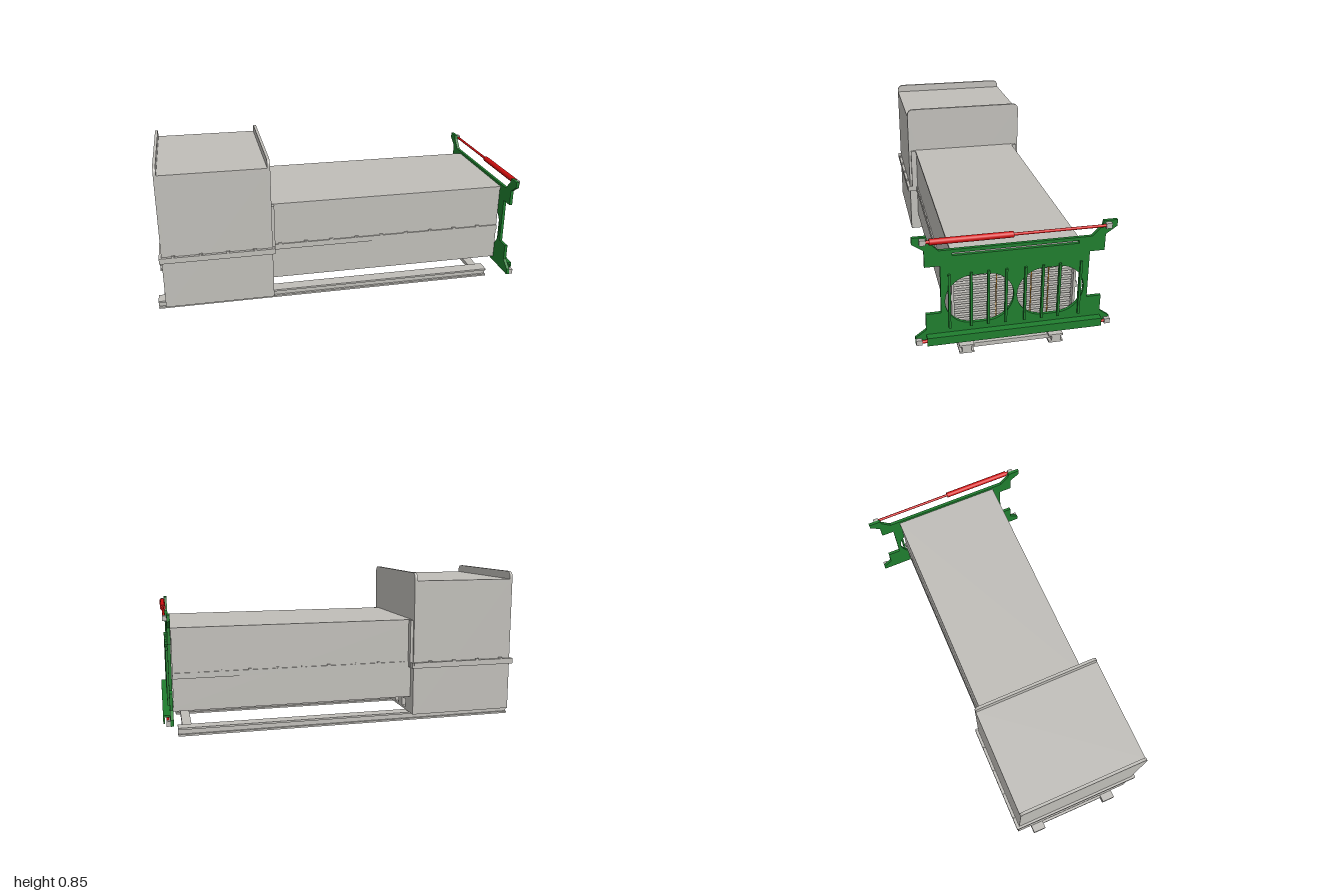
import * as THREE from 'three';

const mat = (name, color) => {
  const m = new THREE.MeshStandardMaterial({ color });
  m.name = name;
  return m;
};

export function createModel() {
  const grey = mat('grey steel', 0xbfbdb8);
  const green = mat('green paint', 0x1f7d2e);
  const red = mat('red paint', 0xd01010);
  const orange = mat('orange strip', 0xd89a3a);
  const root = new THREE.Group();
  root.name = 'machine';

  const group = (name) => {
    const g = new THREE.Group();
    g.name = name;
    root.add(g);
    return g;
  };
  // Box given by its limits on each axis
  const box = (parent, name, m, x0, x1, y0, y1, z0, z1) => {
    const mesh = new THREE.Mesh(new THREE.BoxGeometry(x1 - x0, y1 - y0, z1 - z0), m);
    mesh.position.set((x0 + x1) / 2, (y0 + y1) / 2, (z0 + z1) / 2);
    mesh.name = name;
    parent.add(mesh);
    return mesh;
  };
  // Plate drawn in the (-z, y) plane, extruded along +x
  const plate = (parent, name, m, shape, x0, x1) => {
    const geo = new THREE.ExtrudeGeometry(shape, { depth: x1 - x0, bevelEnabled: false, curveSegments: 20 });
    geo.rotateY(Math.PI / 2);
    const mesh = new THREE.Mesh(geo, m);
    mesh.position.x = x0;
    mesh.name = name;
    parent.add(mesh);
  };
  // Cylinder lying along z
  const rod = (parent, name, m, r, x, y, z0, z1) => {
    const mesh = new THREE.Mesh(new THREE.CylinderGeometry(r, r, Math.abs(z1 - z0), 20), m);
    mesh.rotation.x = Math.PI / 2;
    mesh.position.set(x, y, (z0 + z1) / 2);
    mesh.name = name;
    parent.add(mesh);
  };
  const rectHole = (u0, u1, v0, v1) => new THREE.Path([
    new THREE.Vector2(u0, v0), new THREE.Vector2(u0, v1),
    new THREE.Vector2(u1, v1), new THREE.Vector2(u1, v0)]);

  // Base frame: I-beam rails joined by cross members
  const base = group('baseFrame');
  for (const s of [-1, 1]) {
    const span = (a, b) => (s > 0 ? [a, b] : [-b, -a]);
    box(base, 'railTopFlange', grey, -1, 0.925, 0.036, 0.046, ...span(0.19, 0.263));
    box(base, 'railBottomFlange', grey, -1, 0.925, 0, 0.01, ...span(0.19, 0.263));
    box(base, 'railWeb', grey, -1, 0.925, 0.01, 0.036, ...span(0.205, 0.25));
  }
  for (const x of [-0.97, 0.85]) {
    box(base, 'crossMember', grey, x, x + 0.05, 0.012, 0.035, -0.206, 0.206);
  }

  // Tall hood, open below, between two round-cornered end plates
  const hood = group('hood');
  const W = 0.347;
  box(hood, 'hoodRoof', grey, -0.942, -0.383, 0.79, 0.81, -W, W);
  for (const s of [-1, 1]) {
    box(hood, 'hoodSide', grey, -0.942, -0.383, 0.055, 0.79, s * 0.341 - 0.006, s * 0.341 + 0.006);
  }
  const endShape = () => {
    const p = new THREE.Shape();
    p.moveTo(-W, 0.055);
    p.lineTo(W, 0.055);
    p.lineTo(W, 0.815);
    p.quadraticCurveTo(W, 0.853, W - 0.038, 0.853);
    p.lineTo(-W + 0.038, 0.853);
    p.quadraticCurveTo(-W, 0.853, -W, 0.815);
    return p;
  };
  plate(hood, 'hoodBackPlate', grey, endShape(), -0.957, -0.942);
  const front = endShape();
  const pockets = [-0.257, -0.145, -0.03, 0.084, 0.198];
  for (const u of pockets) front.holes.push(rectHole(u - 0.028, u + 0.028, 0.067, 0.117));
  plate(hood, 'hoodFrontPlate', grey, front, -0.383, -0.368);

  // Pocket tray behind the openings
  for (const u of pockets) {
    for (const d of [-0.032, 0.032]) {
      box(hood, 'pocketWall', grey, -0.46, -0.383, 0.062, 0.13, -u + d - 0.003, -u + d + 0.003);
    }
  }
  box(hood, 'pocketRoof', grey, -0.46, -0.383, 0.12, 0.13, -0.24, 0.3);
  box(hood, 'pocketBack', grey, -0.465, -0.46, 0.062, 0.13, -0.24, 0.3);

  // Long tunnel with an open end
  const tunnel = group('tunnel');
  const H = 0.302;
  box(tunnel, 'tunnelFloor', grey, -0.368, 0.945, 0.15, 0.165, -H, H);
  box(tunnel, 'tunnelRoof', grey, -0.368, 0.945, 0.575, 0.585, -H, H);
  box(tunnel, 'roofSheet', grey, -0.368, 0.947, 0.58, 0.592, -0.306, 0.306);
  for (const s of [-1, 1]) {
    box(tunnel, 'tunnelSide', grey, -0.368, 0.945, 0.165, 0.575, s * 0.296 - 0.006, s * 0.296 + 0.006);
    box(tunnel, 'cornerPost', grey, -0.368, -0.352, 0.325, 0.59, s * 0.318 - 0.016, s * 0.318 + 0.016);
  }
  box(tunnel, 'endHeader', grey, 0.93, 0.945, 0.49, 0.58, -0.29, 0.29);
  box(tunnel, 'innerWall', grey, 0.86, 0.87, 0.165, 0.575, -0.29, 0.29);

  // Stacked slats and upright strips inside the mouth
  for (let y = 0.185; y < 0.48; y += 0.025) {
    box(tunnel, 'slat', grey, 0.885, 0.925, y, y + 0.013, -0.288, 0.288);
  }
  for (const z of [0.085, -0.085, -0.17]) {
    box(tunnel, 'strip', orange, 0.925, 0.93, 0.17, 0.49, z - 0.002, z + 0.002);
  }

  // Belt rail with bolts round both bodies
  const belt = group('beltRail');
  for (const s of [-1, 1]) {
    box(belt, 'hoodBelt', grey, -0.97, -0.366, 0.323, 0.354, s * 0.354 - 0.009, s * 0.354 + 0.009);
    box(belt, 'tunnelBelt', grey, -0.368, 0.945, 0.323, 0.354, s * 0.303 - 0.006, s * 0.303 + 0.006);
    for (let i = 0; i < 13; i++) {
      const x = -0.895 + i * 0.1433;
      const z = s * (x < -0.37 ? 0.354 : 0.303);
      box(belt, 'bolt', grey, x - 0.01, x + 0.01, 0.354, 0.361, z - 0.005, z + 0.005);
    }
  }
  box(belt, 'backBelt', grey, -0.97, -0.957, 0.323, 0.354, -0.345, 0.345);
  box(belt, 'frontBelt', grey, -0.368, -0.356, 0.323, 0.354, -0.36, 0.36);

  // Green end plate with horns, two wide openings and a slot
  const gate = group('endGate');
  const half = [[0.48, 0.12], [0.48, 0.152], [0.428, 0.19], [0.428, 0.276], [0.356, 0.276], [0.356, 0.526],
    [0.428, 0.526], [0.428, 0.61], [0.482, 0.648], [0.482, 0.68], [0.415, 0.68], [0.41, 0.655], [0.362, 0.605]];
  const outline = [...half, ...half.map(([u, v]) => [-u, v]).reverse()];
  const gateShape = new THREE.Shape(outline.map(([u, v]) => new THREE.Vector2(u, v)));
  for (const c of [-0.172, 0.172]) {
    const hole = new THREE.Path();
    hole.absarc(c + 0.035, 0.334, 0.129, -Math.PI / 2, Math.PI / 2, false);
    hole.absarc(c - 0.035, 0.334, 0.129, Math.PI / 2, Math.PI * 1.5, false);
    hole.closePath();
    gateShape.holes.push(hole);
  }
  gateShape.holes.push(rectHole(-0.3, 0.3, 0.574, 0.588));
  plate(gate, 'gatePlate', green, gateShape, 0.949, 0.965);
  for (const z of [0.316, 0.213, 0.131, 0.046]) {
    for (const s of [-1, 1]) {
      box(gate, 'guardBar', green, 0.955, 0.975, 0.19, 0.48, s * z - 0.0055, s * z + 0.0055);
    }
  }
  // Angle cover over the lower cylinder
  box(gate, 'coverTop', green, 0.965, 1, 0.155, 0.165, -0.428, 0.428);
  box(gate, 'coverFace', green, 0.992, 1, 0.122, 0.157, -0.428, 0.428);

  // Hydraulic cylinders with end lugs
  const rams = group('cylinders');
  for (const [y, lug] of [[0.66, 0.435], [0.134, 0.465]]) {
    rod(rams, 'cylinderBarrel', red, 0.015, 0.976, y, 0.02, 0.405);
    rod(rams, 'cylinderEnd', red, 0.008, 0.976, y, 0.4, lug - 0.01);
    rod(rams, 'pistonRod', red, 0.007, 0.976, y, 0.02, -lug + 0.01);
    for (const s of [-1, 1]) {
      box(rams, 'lug', grey, 0.964, 0.985, y - 0.013, y + 0.013, s * lug - 0.014, s * lug + 0.014);
    }
  }
  return root;
}
